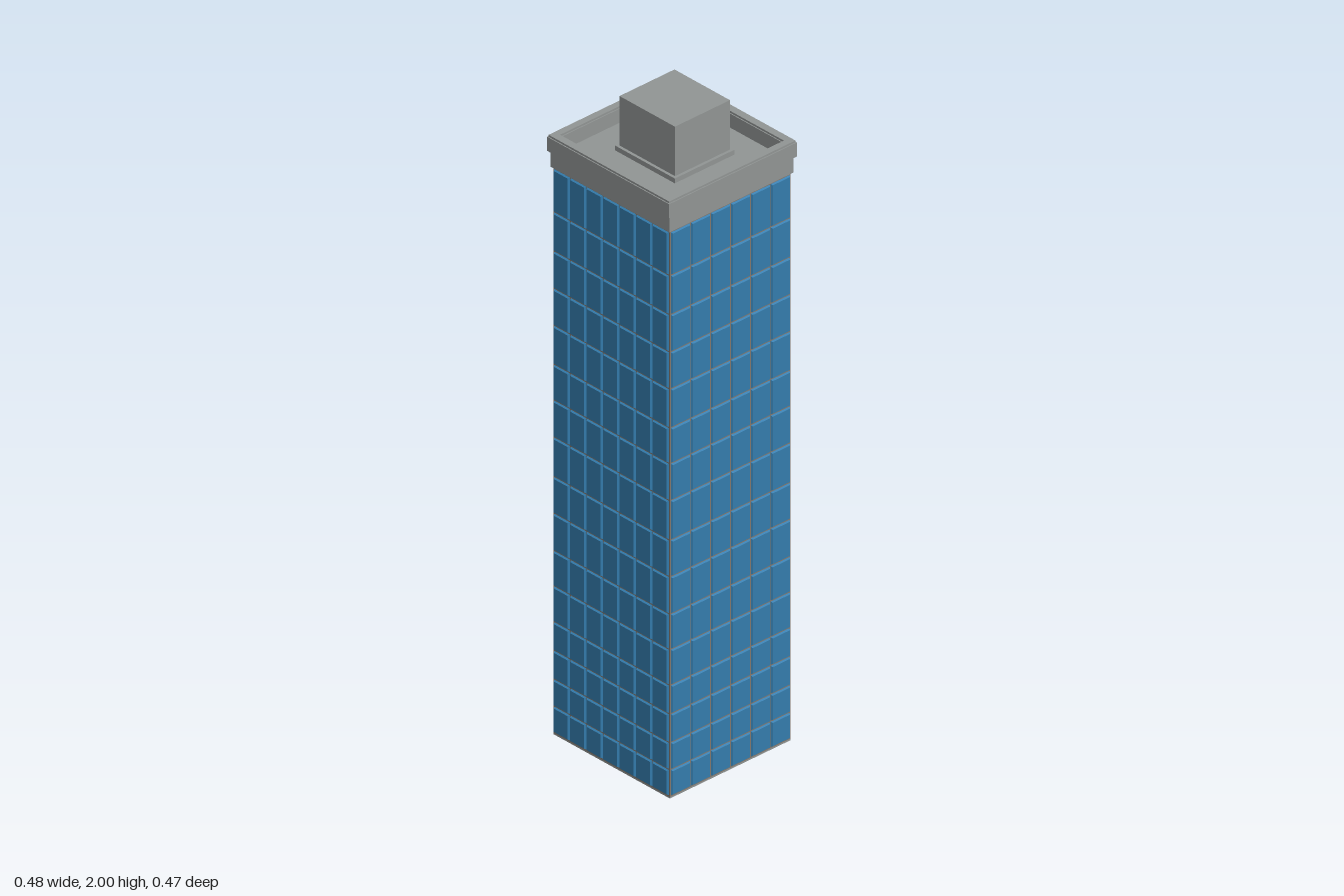
import * as THREE from 'three';

const material = (name, color) => {
  const m = new THREE.MeshStandardMaterial({ color });
  m.name = name;
  return m;
};

export function createModel() {
  const tower = new THREE.Group();
  tower.name = 'officeTower';
  const concrete = material('concrete grey', 0x929695);
  const glass = material('window blue', 0x347dae);
  const joint = material('joint brown grey', 0x85786c);

  // Box given by its limits on each axis
  const box = (name, mat, [x0, x1], [y0, y1], [z0, z1]) => {
    const mesh = new THREE.Mesh(new THREE.BoxGeometry(x1 - x0, y1 - y0, z1 - z0), mat);
    mesh.position.set((x0 + x1) / 2, (y0 + y1) / 2, (z0 + z1) / 2);
    mesh.name = name;
    tower.add(mesh);
  };

  // Square ring lying flat, from y0 to y1
  const ring = (name, ox, oz, ix, iz, y0, y1, zc = 0) => {
    const rect = (P, x, z) => {
      const p = new P();
      p.moveTo(-x, -z).lineTo(x, -z).lineTo(x, z).lineTo(-x, z).closePath();
      return p;
    };
    const shape = rect(THREE.Shape, ox, oz);
    shape.holes.push(rect(THREE.Path, ix, iz));
    const geo = new THREE.ExtrudeGeometry(shape, { depth: y1 - y0, bevelEnabled: false });
    geo.rotateX(-Math.PI / 2);
    const mesh = new THREE.Mesh(geo, concrete);
    mesh.position.set(0, y0, zc);
    mesh.name = name;
    tower.add(mesh);
  };

  // Glass panel with sloping sides, facing +z, its back on z = 0
  const SLOPE = 0.003, DEPTH = 0.005;
  const panelGeometry = (w, h) => {
    const geo = new THREE.BoxGeometry(w, h, DEPTH).translate(0, 0, DEPTH / 2);
    const p = geo.attributes.position;
    for (let i = 0; i < p.count; i++) {
      if (p.getZ(i) < DEPTH / 2) continue;
      p.setX(i, p.getX(i) - Math.sign(p.getX(i)) * SLOPE);
      p.setY(i, p.getY(i) - Math.sign(p.getY(i)) * SLOPE);
    }
    geo.computeVertexNormals();
    return geo;
  };

  // Shaft: foundation slab and the core that shows in the joints and corners
  const W = 0.229, D = 0.222, TOP = 1.78, GAP = 0.004;
  box('baseSlab', concrete, [-W, W], [0, 0.005], [-D, D]);
  box('core', joint, [-W, W], [0.005, TOP], [-D, D]);

  // Storey lines, closer together near the ground
  const floors = [0.007, 0.09, 0.175, 0.265, 0.355, 0.467, 0.578, 0.695, 0.81,
    0.934, 1.05, 1.162, 1.284, 1.4, 1.517, 1.64, 1.776];

  // Four walls of panels: seven bays front and back, six on each side
  for (let side = 0; side < 4; side++) {
    const [bays, half, out] = side % 2 ? [6, D, W] : [7, W, D];
    const wall = new THREE.Group();
    wall.name = ['frontWindows', 'leftWindows', 'backWindows', 'rightWindows'][side];
    wall.rotation.y = side * Math.PI / 2;
    tower.add(wall);
    const pitch = 2 * (half - 0.002) / bays;
    for (let f = 0; f < floors.length - 1; f++) {
      const geo = panelGeometry(pitch - GAP, floors[f + 1] - floors[f] - GAP);
      for (let b = 0; b < bays; b++) {
        const panel = new THREE.Mesh(geo, glass);
        panel.name = 'windowPanel';
        panel.position.set((b - (bays - 1) / 2) * pitch, (floors[f] + floors[f + 1]) / 2, out);
        wall.add(panel);
      }
    }
  }

  // Crown: frieze whose top is the roof deck, then the parapet
  box('frieze', concrete, [-0.234, 0.234], [TOP, 1.83], [-0.228, 0.228]);
  ring('parapet', 0.24, 0.235, 0.213, 0.206, 1.83, 1.874);
  ring('parapetCap', 0.237, 0.232, 0.216, 0.209, 1.874, 1.88);

  // Rooftop machine room with its curb
  box('machineRoom', concrete, [-0.109, 0.109], [1.83, 2], [-0.111, 0.091]);
  ring('machineRoomCurb', 0.118, 0.11, 0.108, 0.1, 1.83, 1.845, -0.01);

  // Pull handle on the right side of the machine room
  box('handleGrip', concrete, [-0.127, -0.121], [1.892, 1.924], [0.058, 0.066]);
  for (const y of [1.895, 1.921]) {
    box('handleArm', concrete, [-0.123, -0.108], [y - 0.003, y + 0.003], [0.058, 0.066]);
  }
  return tower;
}
